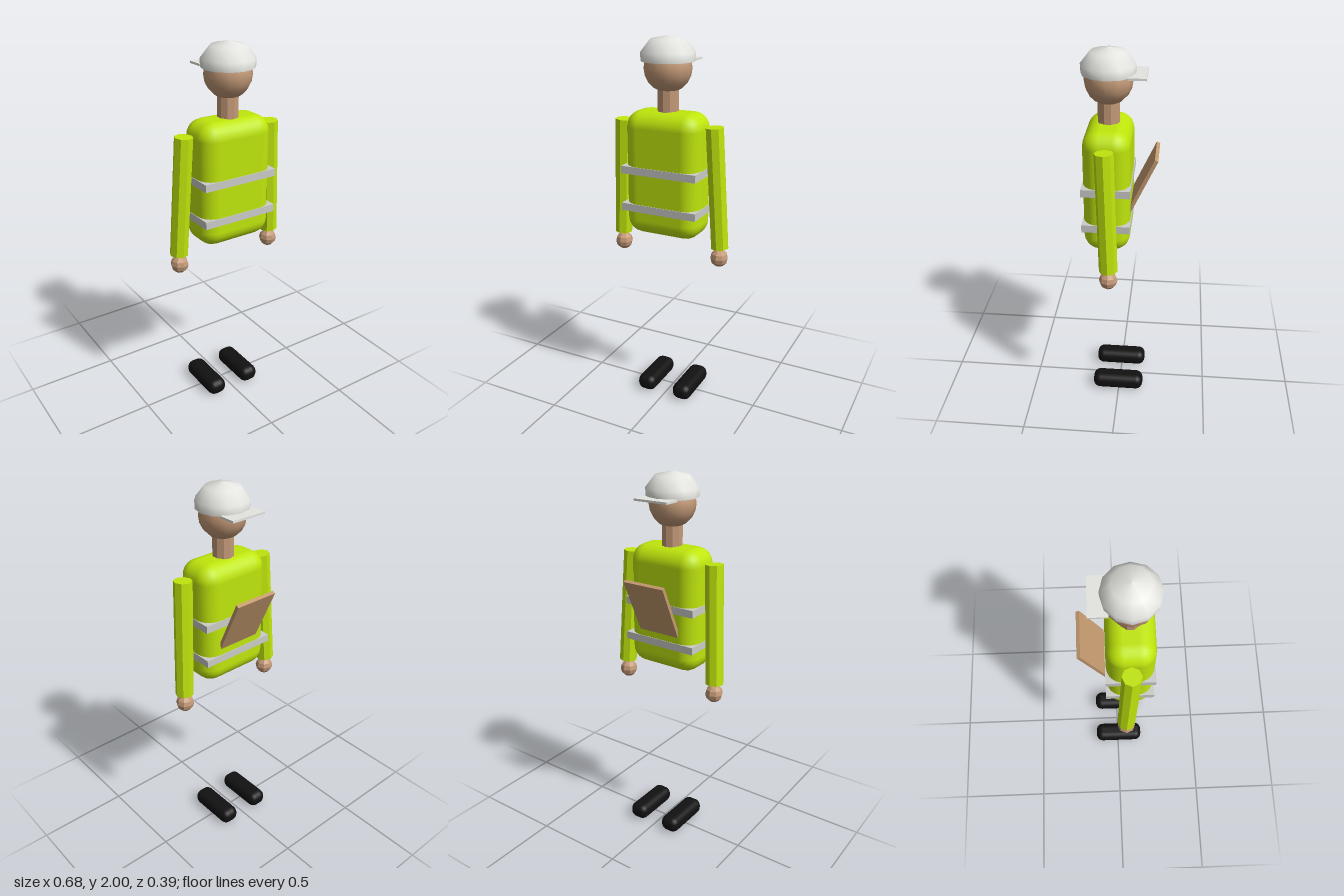
import * as THREE from 'three';
import { RoundedBoxGeometry } from 'three/addons/geometries/RoundedBoxGeometry.js';

const mat = (name, color, extra = {}) => {
  const m = new THREE.MeshStandardMaterial({ color, ...extra });
  m.name = name;
  return m;
};

export function createModel() {
  const model = new THREE.Group();
  model.name = 'worker';

  const vest = mat('hi-vis yellow', 0xbfe60c);
  const sleeve = vest;
  const reflective = mat('reflective grey', 0xcbcbc8);
  const skin = mat('skin', 0xc49a78);
  const white = mat('cap white', 0xe4e4e0, { side: THREE.DoubleSide });
  const black = mat('shoe black', 0x111111);
  const board = mat('board brown', 0xc49a6f);

  const add = (name, geometry, material, x, y, z) => {
    const mesh = new THREE.Mesh(geometry, material);
    mesh.name = name;
    mesh.position.set(x, y, z);
    model.add(mesh);
    return mesh;
  };
  // Low-poly parts keep hard edges between faces
  const faceted = (geometry) => {
    const g = geometry.toNonIndexed();
    g.computeVertexNormals();
    return g;
  };

  const midZ = 0.059; // the body stands a little behind the centre; it faces -z

  // Torso with two reflective bands
  add('torso', new RoundedBoxGeometry(0.415, 0.654, 0.24, 3, 0.085), vest, 0, 1.306, midZ);
  for (const y of [1.33, 1.13]) {
    add('reflectiveBand', new THREE.BoxGeometry(0.422, 0.04, 0.247), reflective, 0, y, midZ);
  }

  // Neck and head
  add('neck', faceted(new THREE.CylinderGeometry(0.055, 0.055, 0.13, 10)), skin, 0, 1.68, midZ);
  add('head', new THREE.SphereGeometry(0.121, 12, 10), skin, 0, 1.843, midZ);

  // Cap: open shallow dome and flat peak
  const dome = [[0.135, 1.876], [0.137, 1.92], [0.088, 1.982], [0, 2]]
    .map(([r, y]) => new THREE.Vector2(r, y));
  add('capDome', new THREE.LatheGeometry(dome, 12), white, 0, 0, midZ);
  add('capPeak', new THREE.BoxGeometry(0.198, 0.011, 0.09), white, 0, 1.877, -0.085);

  // Arms, hands and shoes on both sides
  for (const s of [-1, 1]) {
    const top = new THREE.Vector3(s * 0.256, 1.57, 0.058);
    const bottom = new THREE.Vector3(s * 0.29, 0.934, 0.038);
    const axis = top.clone().sub(bottom);
    const arm = add('arm', faceted(new THREE.CylinderGeometry(0.048, 0.048, axis.length(), 8)), sleeve,
      ...top.clone().add(bottom).multiplyScalar(0.5).toArray());
    arm.quaternion.setFromUnitVectors(new THREE.Vector3(0, 1, 0), axis.normalize());

    add('hand', faceted(new THREE.SphereGeometry(0.048, 8, 6)), skin, s * 0.288, 0.877, 0.039);
    add('shoe', new RoundedBoxGeometry(0.109, 0.09, 0.29, 3, 0.04), black, s * 0.11, 0.046, 0.005);
  }

  // Clipboard leaning out from the chest
  const clipboard = add('clipboard', new THREE.BoxGeometry(0.242, 0.32, 0.019), board, 0, 1.334, -0.12);
  clipboard.rotation.x = -0.435;

  return model;
}
